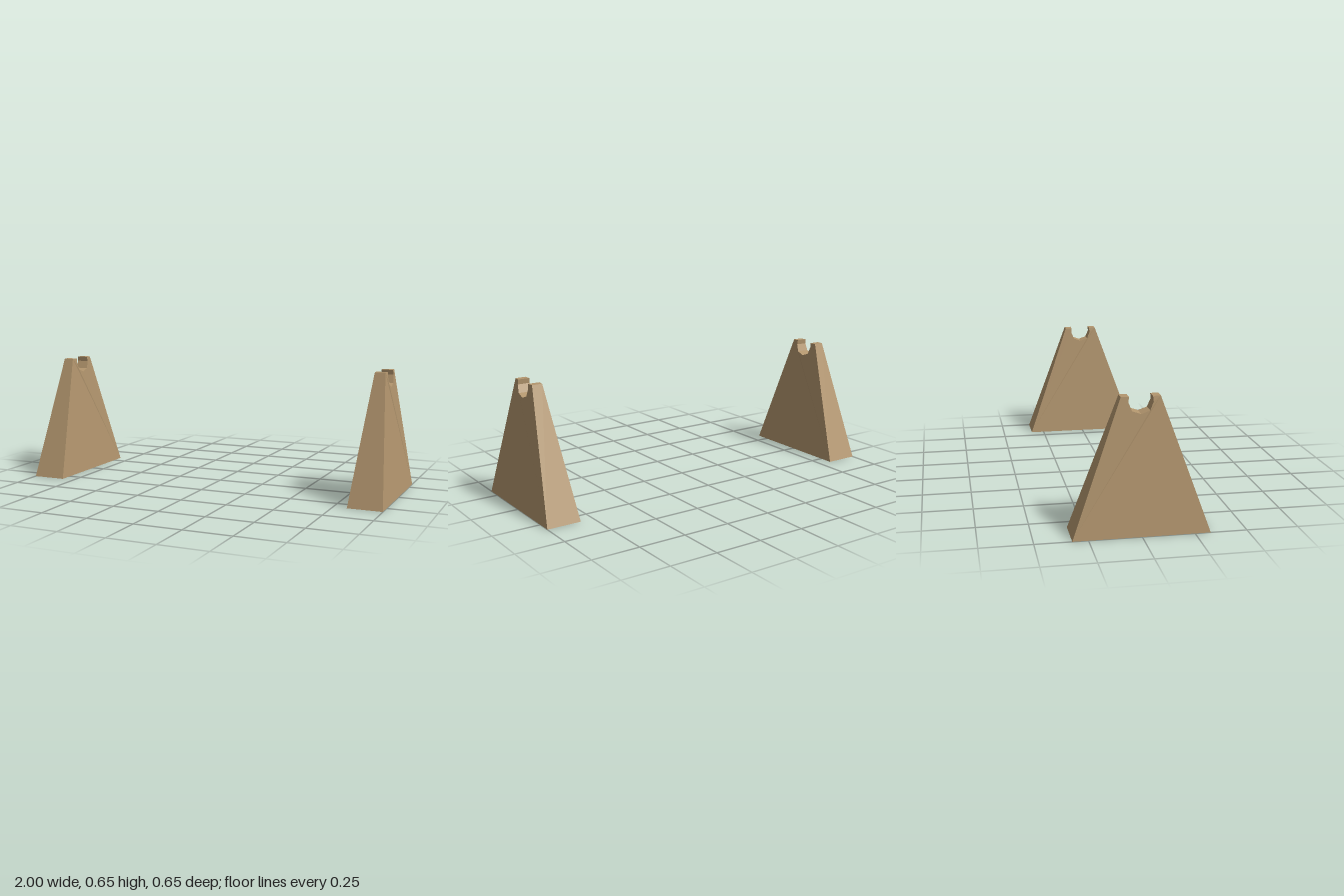
import * as THREE from 'three';

const HEIGHT = 0.65;

// Wedge with a faceted notch in its top edge, thinning upwards
function standGeometry() {
  const half = [[0.325, 0], [0.092, HEIGHT], [0.055, HEIGHT], [0.058, 0.625], [0.042, 0.585]];
  const mirrored = half.map(([z, y]) => [-z, y]).reverse();
  const outline = [...half, [0, 0.57], ...mirrored].map(([z, y]) => new THREE.Vector2(z, y));

  const geometry = new THREE.ExtrudeGeometry(new THREE.Shape(outline), { depth: 2, bevelEnabled: false });
  geometry.translate(0, 0, -1);
  geometry.rotateY(Math.PI / 2);

  // Taper the thickness, leaving the notch rim slightly proud
  const p = geometry.attributes.position;
  for (let i = 0; i < p.count; i++) {
    const rim = Math.abs(p.getZ(i)) < 0.07 ? 0.003 : 0;
    const thickness = THREE.MathUtils.lerp(0.09, 0.027, p.getY(i) / HEIGHT) + rim;
    p.setX(i, Math.sign(p.getX(i)) * thickness);
  }
  geometry.computeVertexNormals();
  return geometry;
}

export function createModel() {
  const model = new THREE.Group();
  model.name = 'standPair';
  const wood = new THREE.MeshStandardMaterial({ color: 0xb3966e, flatShading: true });
  wood.name = 'tan wood';

  const geometry = standGeometry();
  for (const side of [-1, 1]) {
    const stand = new THREE.Mesh(geometry, wood);
    stand.name = side > 0 ? 'leftStand' : 'rightStand';
    stand.position.x = side * 0.91;
    model.add(stand);
  }
  return model;
}
